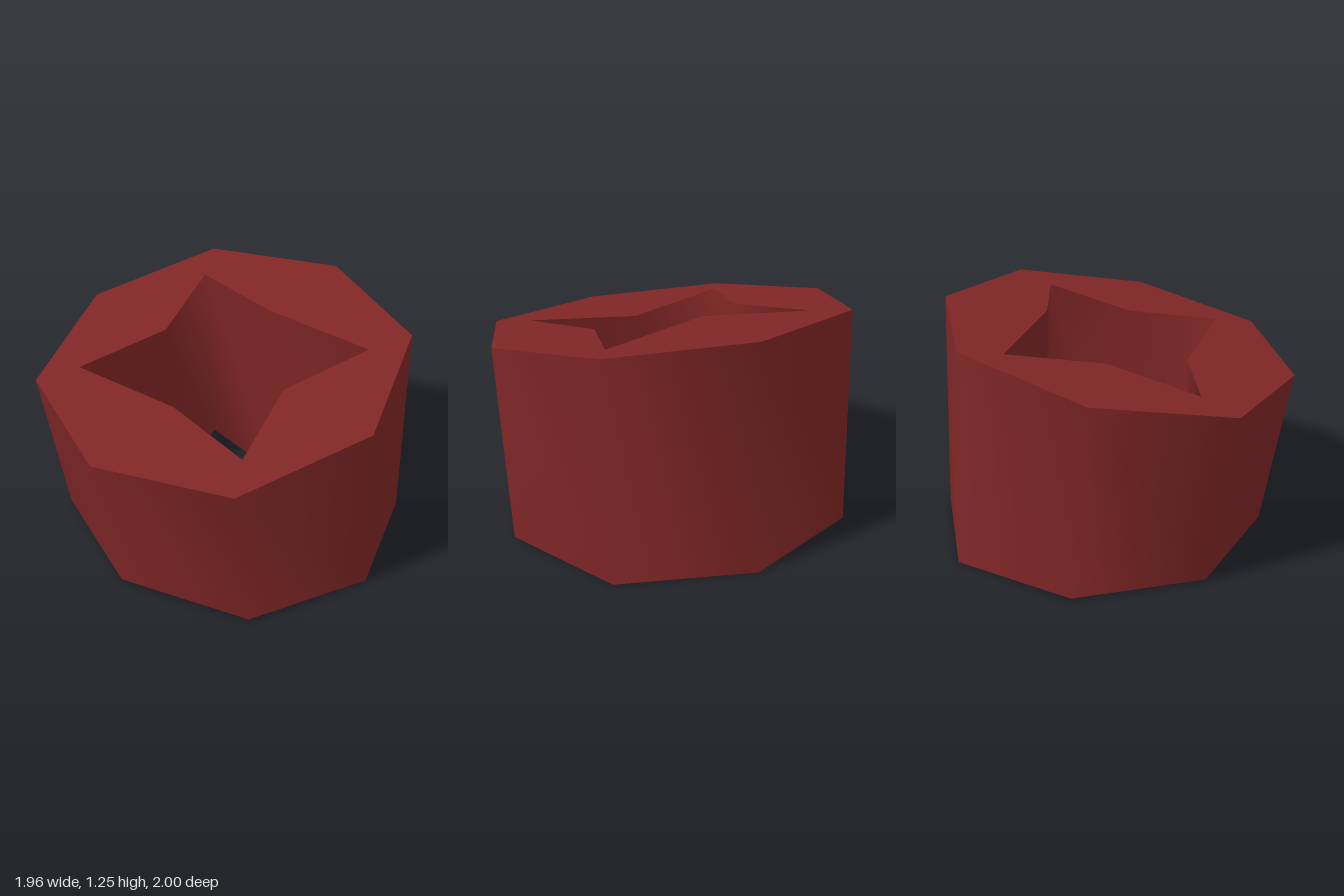
import * as THREE from 'three';

// Closed ring of eight points, mirrored across z = 0.
// Half is listed from the high side (+x) round to the low side (-x).
function ring(half) {
  const back = half.slice(1, 4).reverse().map(([x, y, z]) => [x, y, -z]);
  return [...half, ...back];
}

// Smooth band of faces joining two rings
function band(name, a, b, material) {
  const n = a.length;
  const index = [];
  for (let i = 0; i < n; i++) {
    const j = (i + 1) % n;
    index.push(i, j, n + i, j, n + j, n + i);
  }
  const geometry = new THREE.BufferGeometry();
  geometry.setAttribute('position', new THREE.Float32BufferAttribute([...a, ...b].flat(), 3));
  geometry.setIndex(index);
  geometry.computeVertexNormals();
  const mesh = new THREE.Mesh(geometry, material);
  mesh.name = name;
  return mesh;
}

export function createModel() {
  const group = new THREE.Group();
  group.name = 'slantedRing';
  const red = new THREE.MeshStandardMaterial({ color: 0x802626 });
  red.name = 'darkRed';

  // Octagonal outside, slanted on top
  const topOuter = ring([[0.93, 1.245, 0], [0.67, 1.2, 0.72], [-0.025, 1.067, 1], [-0.72, 0.938, 0.725], [-0.98, 0.89, 0]]);
  const bottomOuter = ring([[0.975, 0, 0], [0.73, 0.003, 0.705], [0.075, 0.008, 0.975], [-0.58, 0.013, 0.705], [-0.83, 0.015, 0]]);

  // Four-pointed star opening
  const topInner = ring([[0.365, 1.19, 0], [0.465, 1.153, 0.595], [-0.025, 1.067, 0.43], [-0.52, 0.984, 0.595], [-0.4, 0.947, 0]]);
  const bottomInner = ring([[0.455, 0.004, 0], [0.52, 0.004, 0.58], [0.075, 0.008, 0.41], [-0.375, 0.012, 0.58], [-0.305, 0.012, 0]]);

  group.add(
    band('outerWall', topOuter, bottomOuter, red),
    band('bottomFace', bottomOuter, bottomInner, red),
    band('starOpening', bottomInner, topInner, red),
    band('topFace', topInner, topOuter, red),
  );
  return group;
}
